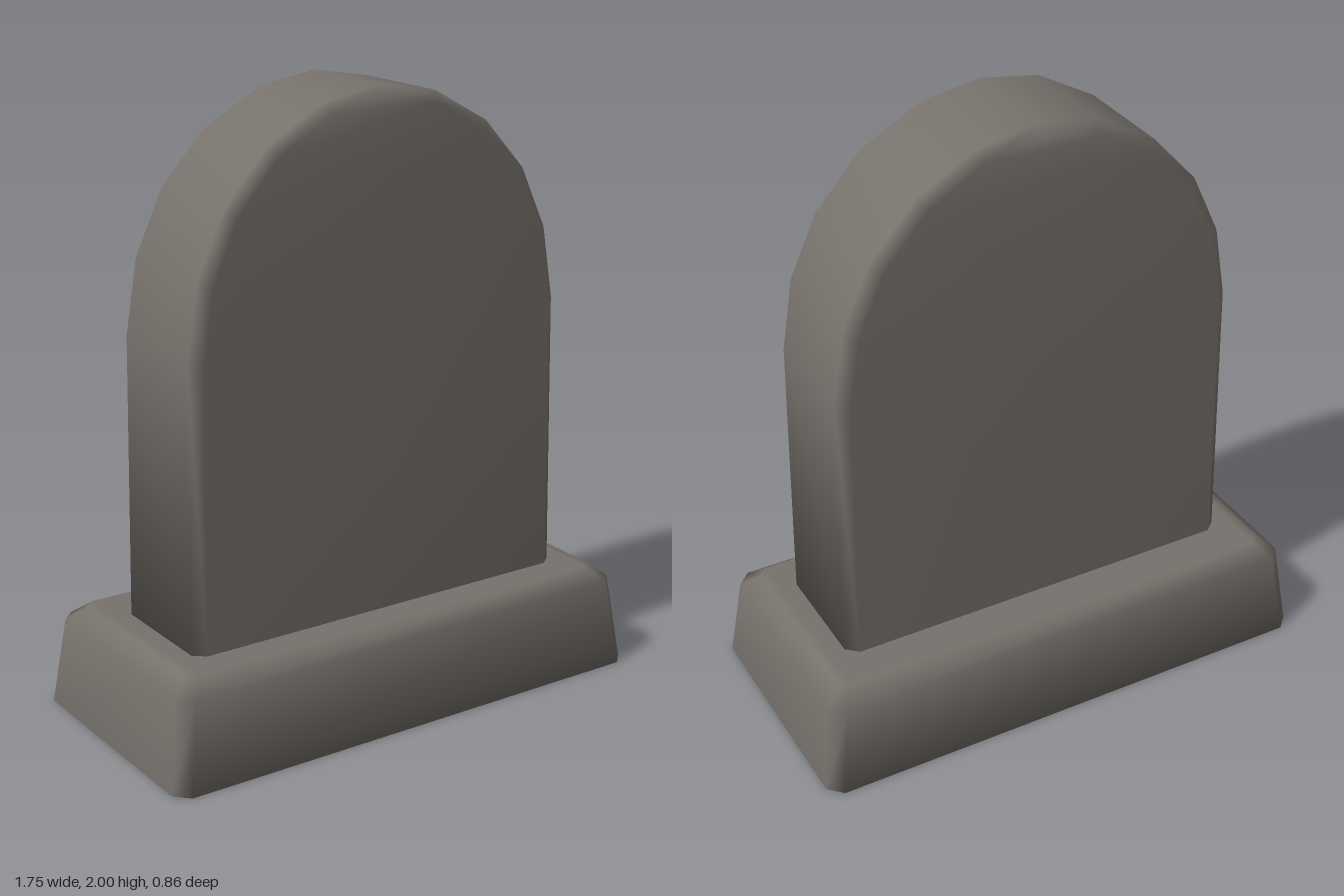
import * as THREE from 'three';

// Skins a closed run of matching rings (counter-clockwise about the run) and caps both ends.
function loft(rings) {
  const n = rings[0].length, last = (rings.length - 1) * n, index = [];
  for (let r = 0; r < rings.length - 1; r++) {
    for (let i = 0; i < n; i++) {
      const a = r * n + i, b = r * n + (i + 1) % n;
      index.push(a, b, b + n, a, b + n, a + n);
    }
  }
  const cap = (a, b, c) => index.push(a, c, b, last + a, last + b, last + c);
  for (let k = 0; k < Math.floor((n - 1) / 2); k++) {
    cap(k, k + 1, n - 1 - k);
    if (k + 1 < n - 2 - k) cap(k + 1, n - 2 - k, n - 1 - k);
  }
  const geometry = new THREE.BufferGeometry();
  geometry.setAttribute('position', new THREE.Float32BufferAttribute(rings.flat(2), 3));
  geometry.setIndex(index);
  geometry.computeVertexNormals();
  return geometry;
}

// Horizontal rectangle with cut corners.
function cutRect(y, x, z, cut) {
  const quarter = [[x, z - cut], [x - cut, z]];
  const half = [...quarter, ...quarter.map(([a, b]) => [-a, b]).reverse()];
  return [...half, ...half.map(([a, b]) => [-a, -b])].map(([a, b]) => [a, y, -b]);
}

export function createModel() {
  const model = new THREE.Group();
  model.name = 'gravestone';
  const stone = new THREE.MeshStandardMaterial({ color: 0x76716b });
  stone.name = 'grey stone';

  // Plinth: sloping sides, bevelled upper edge
  const plinth = new THREE.Mesh(loft([
    cutRect(0, 0.875, 0.43, 0.045),
    cutRect(0.29, 0.838, 0.395, 0.045),
    cutRect(0.337, 0.78, 0.333, 0.03),
  ]), stone);
  plinth.name = 'plinth';

  // Arched slab: slight taper, bevelled front and back rims
  const foot = 0.33;
  const side = [[0.695, foot], [0.682, 1.25], [0.643, 1.488], [0.55, 1.69], [0.4, 1.855], [0.203, 1.965]];
  const outline = [...side, [0, 2], ...side.map(([x, y]) => [-x, y]).reverse()];
  const ring = (z, sx, sy) => outline.map(([x, y]) => {
    const taper = 0.01 * (y - foot) / 1.67;
    return [x * sx, foot + (y - foot) * sy, z - Math.sign(z) * taper];
  });
  const slab = new THREE.Mesh(loft([
    ring(-0.205, 0.945, 0.98),
    ring(-0.17, 1, 1),
    ring(0.205, 1, 1),
    ring(0.237, 0.945, 0.98),
  ]), stone);
  slab.name = 'archedSlab';

  model.add(plinth, slab);
  return model;
}
